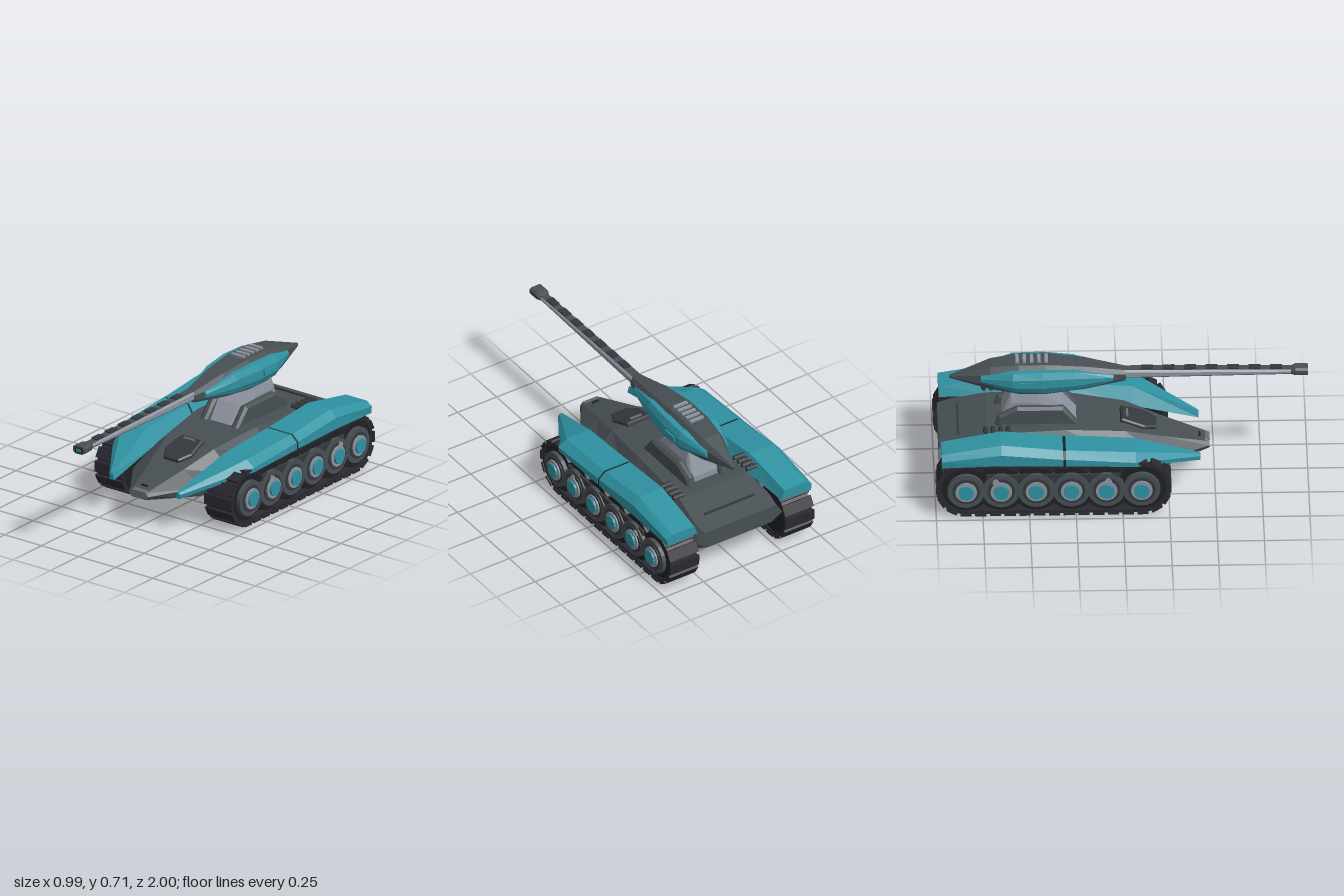
import * as THREE from 'three';

const mat = (name, color) => {
  const m = new THREE.MeshStandardMaterial({ color, flatShading: true });
  m.name = name;
  return m;
};

export function createModel() {
  const teal = mat('teal paint', 0x2f92a2);
  const hullGrey = mat('hull grey', 0x474f53);
  const darkGrey = mat('dark grey', 0x34393d);
  const rubber = mat('track rubber', 0x2b2931);
  const black = mat('shadow black', 0x1f2024);
  const light = mat('light metal', 0x8d939f);
  const mid = mat('mid metal', 0x666d74);
  const model = new THREE.Group();

  const add = (name, geo, material, parent = model, x = 0, y = 0, z = 0) => {
    const m = new THREE.Mesh(geo, material);
    m.name = name;
    m.position.set(x, y, z);
    parent.add(m);
    return m;
  };
  const box = (name, w, h, d, material, x, y, z, parent = model) =>
    add(name, new THREE.BoxGeometry(w, h, d), material, parent, x, y, z);
  // cylinder along x between two x values
  const disc = (name, r, x0, x1, y, z, material, parent, n = 20) => {
    const g = new THREE.CylinderGeometry(r, r, Math.abs(x1 - x0), n).rotateZ(Math.PI / 2);
    return add(name, g, material, parent, (x0 + x1) / 2, y, z);
  };
  // side-profile slab: points are [z, y], thickness runs along x
  const slab = (shape, w, bevel = 0) => {
    const g = new THREE.ExtrudeGeometry(shape, {
      depth: w - 2 * bevel, bevelEnabled: bevel > 0, bevelSize: bevel, bevelThickness: bevel,
      bevelOffset: -bevel, bevelSegments: 1, curveSegments: 8,
    });
    return g.translate(0, 0, -(w - 2 * bevel) / 2).rotateY(-Math.PI / 2);
  };
  const poly = (pts) => new THREE.Shape(pts.map((p) => new THREE.Vector2(...p)));

  // skin closed outlines, listed front to back, counter-clockwise from the front
  const loft = (sections) => {
    const v = [];
    const tri = (...p) => p.forEach((q) => v.push(...q));
    const rings = sections.map(([z, pts]) => pts.map(([x, y]) => [x, y, z]));
    const n = rings[0].length;
    for (let i = 0; i + 1 < rings.length; i++) {
      for (let j = 0; j < n; j++) {
        const k = (j + 1) % n, a = rings[i], b = rings[i + 1];
        tri(a[j], b[j], a[k]);
        tri(a[k], b[j], b[k]);
      }
    }
    const f = rings[0], e = rings[rings.length - 1];
    for (let j = 1; j + 1 < n; j++) {
      tri(f[0], f[j], f[j + 1]);
      tri(e[0], e[j + 1], e[j]);
    }
    const g = new THREE.BufferGeometry();
    g.setAttribute('position', new THREE.Float32BufferAttribute(v, 3));
    g.computeVertexNormals();
    return g;
  };
  const flip = (pts) => pts.map(([x, y]) => [-x, y]).reverse();
  const both = (sections) => sections.map(([z, half]) => [z, [...half, ...flip(half)]]);
  const onSide = (s, sections) => sections.map(([z, p]) => [z, s > 0 ? p : flip(p)]);

  // hull
  add('hull', loft(both([
    [0.47, [[0.05, 0.165], [0.065, 0.185], [0.05, 0.205]]],
    [0.22, [[0.21, 0.145], [0.23, 0.2], [0.11, 0.275]]],
    [0.02, [[0.27, 0.14], [0.28, 0.23], [0.16, 0.34]]],
    [-0.3, [[0.27, 0.14], [0.28, 0.25], [0.2, 0.375]]],
    [-0.72, [[0.27, 0.14], [0.28, 0.25], [0.22, 0.365]]],
    [-0.9, [[0.25, 0.15], [0.28, 0.24], [0.24, 0.32]]],
    [-0.98, [[0.2, 0.2], [0.27, 0.24], [0.23, 0.3]]],
  ])), hullGrey);
  add('nosePlate', loft(both([
    [0.475, [[0.045, 0.165], [0.065, 0.185], [0.045, 0.207]]],
    [0.45, [[0.045, 0.16], [0.07, 0.185], [0.045, 0.212]]],
  ])), mid);
  box('noseSlot', 0.04, 0.008, 0.01, black, 0, 0.222, 0.42);
  box('rearDeckSlot', 0.32, 0.008, 0.012, darkGrey, 0, 0.335, -0.875);

  // driver hatch lying on the sloped front deck
  const hatch = new THREE.Group();
  hatch.name = 'frontHatch';
  hatch.position.set(0, 0.313, 0.09);
  hatch.rotation.x = 0.31;
  model.add(hatch);
  const hatchShape = poly([[-0.05, -0.1], [0.05, -0.1], [0.09, -0.03], [0.075, 0.1], [-0.075, 0.1], [-0.09, -0.03]]);
  const hatchGeo = new THREE.ExtrudeGeometry(hatchShape, {
    depth: 0.016, bevelSize: 0.008, bevelThickness: 0.008, bevelOffset: -0.008, bevelSegments: 1,
  });
  add('hatchLid', hatchGeo.rotateX(-Math.PI / 2), darkGrey, hatch);
  box('hatchHandle', 0.07, 0.01, 0.012, mid, 0, 0.028, -0.07, hatch);

  // armoured fenders, each in a front and a rear piece
  const tip = [0.42, [[0.235, 0.2], [0.24, 0.225], [0.23, 0.235], [0.215, 0.235], [0.205, 0.2]]];
  const seam = [[0.47, 0.31], [0.47, 0.35], [0.43, 0.385], [0.27, 0.385], [0.23, 0.32]];
  const frontFender = [tip,
    [0.07, [[0.47, 0.3], [0.47, 0.325], [0.42, 0.362], [0.27, 0.362], [0.22, 0.27]]],
    [-0.305, seam]];
  const rearFender = [[-0.32, seam],
    [-0.65, [[0.47, 0.315], [0.47, 0.38], [0.43, 0.42], [0.28, 0.42], [0.24, 0.33]]],
    [-0.97, [[0.46, 0.3], [0.465, 0.34], [0.43, 0.365], [0.29, 0.365], [0.27, 0.31]]]];
  const seamIn = seam.map(([x, y]) => [0.35 + (x - 0.35) * 0.96, y - 0.005]);

  // track loop outline in the side plane
  const zF = 0.1, zR = -0.84, yC = 0.16;
  const loop = (S, r) => {
    const s = new S();
    s.absarc(zF, yC, r, -Math.PI / 2, Math.PI / 2, false);
    s.absarc(zR, yC, r, Math.PI / 2, Math.PI * 1.5, false);
    s.closePath();
    return s;
  };

  for (const s of [1, -1]) {
    const side = s > 0 ? 'left' : 'right';
    add(side + 'FrontFender', loft(onSide(s, frontFender)), teal);
    add(side + 'RearFender', loft(onSide(s, rearFender)), teal);
    add(side + 'FenderSeam', loft(onSide(s, [[-0.3, seamIn], [-0.325, seamIn]])), black);

    // cooling slats over the inner fender edge
    for (let i = 0; i < 4; i++) {
      add(side + 'Slat', new THREE.CylinderGeometry(0.013, 0.013, 0.065, 6).rotateZ(Math.PI / 2),
        darkGrey, model, s * 0.235, 0.397, -0.61 - i * 0.04);
    }

    // track belt and tread pads
    const track = new THREE.Group();
    track.name = side + 'Track';
    model.add(track);
    const ring = loop(THREE.Shape, 0.15);
    ring.holes.push(loop(THREE.Path, 0.132));
    add('belt', slab(ring, 0.17), rubber, track, s * 0.37);
    const straight = zF - zR, arc = Math.PI * 0.153, total = 2 * (straight + arc), pads = 36;
    for (let i = 0; i < pads; i++) {
      let d = (i / pads) * total, z, y, a;
      if (d < straight) { z = zR + d; y = yC - 0.153; a = 0; }
      else if (d < straight + arc) {
        a = (d - straight) / 0.153;
        z = zF + Math.sin(a) * 0.153; y = yC - Math.cos(a) * 0.153;
      } else if (d < 2 * straight + arc) { z = zF - (d - straight - arc); y = yC + 0.153; a = Math.PI; }
      else {
        a = Math.PI + (d - 2 * straight - arc) / 0.153;
        z = zR + Math.sin(a) * 0.153; y = yC - Math.cos(a) * 0.153;
      }
      box('treadPad', 0.184, 0.014, 0.06, rubber, s * 0.37, y, z, track).rotation.x = -a;
    }

    // road wheels with hubs
    for (let i = 0; i < 6; i++) {
      const z = zF - i * 0.188;
      disc('tyre', 0.13, s * 0.29, s * 0.45, yC, z, black, track, 24);
      disc('rim', 0.1, s * 0.45, s * 0.472, yC, z, hullGrey, track, 24);
      disc('rimRecess', 0.075, s * 0.472, s * 0.476, yC, z, darkGrey, track);
      disc('hubRing', 0.058, s * 0.47, s * 0.484, yC, z, light, track);
      disc('hubCap', 0.042, s * 0.48, s * 0.495, yC, z, teal, track, 12);
    }
    box('wheelCarrier', 0.12, 0.15, straight, black, s * 0.37, 0.18, (zF + zR) / 2, track);
    box('sideRail', 0.03, 0.04, 0.72, darkGrey, s * 0.45, 0.235, -0.37, track);
    for (const z of [-0.08, -0.68]) disc('railBolt', 0.02, s * 0.45, s * 0.48, 0.215, z, light, track, 8);

    // turret side brackets
    const bracket = poly([[-0.22, 0.36], [-0.31, 0.47], [-0.56, 0.47], [-0.66, 0.42], [-0.68, 0.36]]);
    add(side + 'Bracket', slab(bracket, 0.05, 0.015), hullGrey, model, s * 0.105);

    // turret cheek armour
    const cheek = (z, x, y0, y1, w) => {
      const h = y1 - y0;
      return [z, [[x - w, y0], [x - w * 0.3, y0], [x, y0 + h * 0.3], [x, y0 + h * 0.7], [x - w * 0.3, y1], [x - w, y1]]];
    };
    add(side + 'Cheek', loft(onSide(s, [
      cheek(-0.04, 0.062, 0.585, 0.625, 0.03), cheek(-0.25, 0.11, 0.56, 0.67, 0.05),
      cheek(-0.42, 0.13, 0.552, 0.68, 0.06), cheek(-0.58, 0.13, 0.56, 0.675, 0.06),
      cheek(-0.75, 0.075, 0.595, 0.635, 0.03),
    ])), teal);
    box(side + 'CheekStud', 0.012, 0.03, 0.09, teal, s * 0.133, 0.615, -0.5);
  }

  // turret pedestal
  add('pedestal', loft(both([
    [-0.24, [[0.065, 0.35], [0.07, 0.36], [0.065, 0.37]]],
    [-0.32, [[0.085, 0.35], [0.09, 0.4], [0.075, 0.46]]],
    [-0.44, [[0.085, 0.35], [0.09, 0.48], [0.075, 0.545]]],
    [-0.59, [[0.085, 0.35], [0.09, 0.48], [0.075, 0.545]]],
    [-0.64, [[0.085, 0.35], [0.09, 0.37], [0.075, 0.4]]],
  ])), light);

  // turret shell
  const shell = (z, w, y0, y1) => {
    const h = y1 - y0;
    return [z, [[w * 0.85, y0], [w, y0 + h * 0.22], [w, y0 + h * 0.7], [w * 0.65, y1]]];
  };
  add('turret', loft(both([
    shell(0.025, 0.038, 0.58, 0.638), shell(-0.2, 0.08, 0.55, 0.68), shell(-0.4, 0.1, 0.533, 0.7),
    shell(-0.55, 0.1, 0.535, 0.7), shell(-0.7, 0.075, 0.555, 0.68), shell(-0.92, 0.006, 0.593, 0.607),
  ])), hullGrey);
  for (let i = 0; i < 5; i++) box('roofVent', 0.085, 0.014, 0.018, light, 0, 0.703, -0.4 - i * 0.039);

  // gun barrel, top plates and muzzle
  const tube = (z, w, y0, y1) => [z, [[w * 0.6, y0], [w, y0 + 0.012], [w, y1 - 0.01], [w * 0.7, y1]]];
  add('barrel', loft(both([tube(0.93, 0.027, 0.597, 0.627), tube(0, 0.034, 0.588, 0.638)])), light);
  add('barrelTopStrip', loft(both([
    [0.93, [[0.02, 0.62], [0.02, 0.63]]], [0.02, [[0.022, 0.63], [0.022, 0.641]]],
  ])), hullGrey);
  for (let i = 0; i < 7; i++) {
    box('barrelPlate', 0.04, 0.01, 0.065, darkGrey, 0, 0.641 - i * 0.0012, 0.14 + i * 0.115);
  }
  add('muzzle', loft(both([
    tube(1, 0.038, 0.592, 0.638), tube(0.935, 0.038, 0.592, 0.638), tube(0.91, 0.028, 0.598, 0.63),
  ])), hullGrey);
  box('muzzleFrame', 0.05, 0.03, 0.004, black, 0, 0.614, 0.999);
  box('muzzleBore', 0.03, 0.018, 0.004, teal, 0, 0.614, 1.0);
  return model;
}
